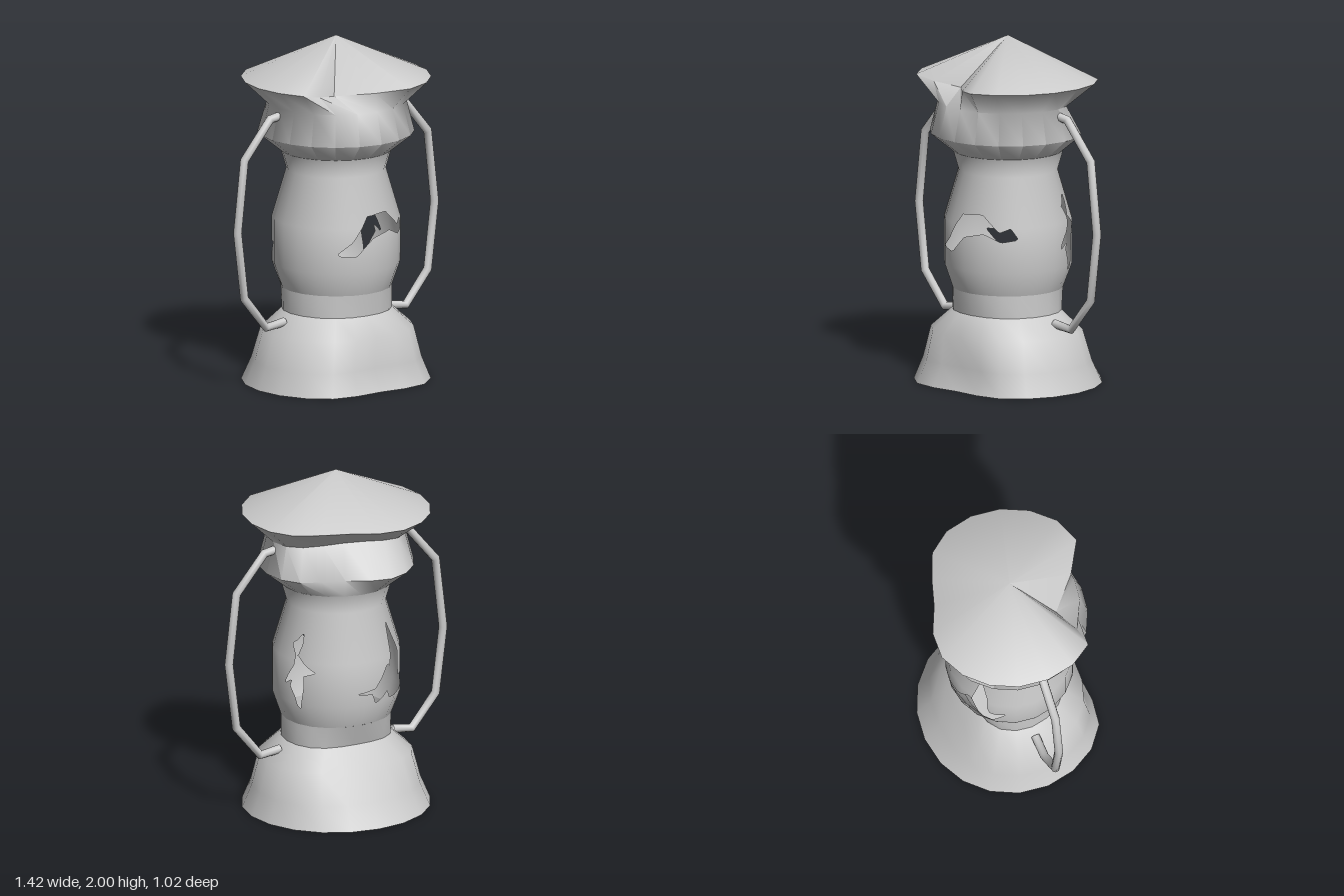
import * as THREE from 'three';
import { toCreasedNormals } from 'three/addons/utils/BufferGeometryUtils.js';

const SIDES = 20;
const STEP = (Math.PI * 2) / SIDES;
const DEG = Math.PI / 180;
const mat = new THREE.MeshStandardMaterial({ color: 0xcccccc, side: THREE.DoubleSide });

// Dents: centre angle (from +z towards +x), height, angular and vertical spread, push vector
const DENTS = [
  { a: -18, y: 1.76, sa: 16, sy: 0.04, push: [0, -0.055, -0.3] },      // front of the brim
  { a: 157, y: 1.76, sa: 18, sy: 0.04, push: [-0.035, 0, 0.09] },      // back of the brim
  { a: 168, y: 1.625, sa: 32, sy: 0.06, push: [-0.07, 0, 0.19] },      // back of the neck
  { a: 158, y: 1.445, sa: 20, sy: 0.05, push: [-0.03, 0, 0.11] },      // back of the head
  { a: 180, y: 0.3, sa: 30, sy: 0.15, push: [0, 0, 0.1] },             // back of the base
  { a: 0, y: 0.07, sa: 20, sy: 0.17, push: [0, 0, -0.12] },            // front of the base
];

function dent(v) {
  if (Math.hypot(v.x, v.z) < 0.01) return v;
  const angle = Math.atan2(v.x, v.z) / DEG;
  const { y } = v;
  for (const d of DENTS) {
    const da = ((angle - d.a + 540) % 360) - 180;
    const w = Math.exp(-0.5 * ((da / d.sa) ** 2 + ((y - d.y) / d.sy) ** 2));
    if (w > 0.02) v.addScaledVector(new THREE.Vector3(...d.push), w);
  }
  return v;
}

// Dented body of revolution
function turned(name, profile) {
  const geo = new THREE.LatheGeometry(profile.map(p => new THREE.Vector2(...p)), SIDES);
  const pos = geo.attributes.position;
  const v = new THREE.Vector3();
  for (let i = 0; i < pos.count; i++) {
    dent(v.fromBufferAttribute(pos, i));
    pos.setXYZ(i, v.x, v.y, v.z);
  }
  const mesh = new THREE.Mesh(toCreasedNormals(geo, 1.15), mat);
  mesh.name = name;
  return mesh;
}

const GLASS = [[0.317, 0.55], [0.365, 0.69], [0.365, 0.95], [0.283, 1.23], [0.315, 1.34]];
const GLASS_R = 0.365;

// Broken openings: facing angle and outline as (sideways offset, height)
const CRACKS = [
  { a: 0, pts: [[-0.21, 0.8], [-0.13, 0.865], [-0.085, 0.93], [-0.03, 1.01], [0.115, 1.02], [0.21, 0.925], [0.26, 0.95],
    [0.29, 0.885], [0.22, 0.87], [0.125, 0.915], [0, 0.885], [-0.05, 0.84], [-0.105, 0.785], [-0.185, 0.79]] },
  { a: 90, pts: [[0.165, 1.11], [0.17, 1.05], [0.15, 0.98], [0.2, 0.93], [0.25, 0.89], [0.19, 0.865], [0.19, 0.8],
    [0.17, 0.66], [0.155, 0.67], [0.14, 0.725], [0.105, 0.79], [0.12, 0.835], [0.05, 0.79], [0.085, 0.85],
    [0.13, 0.915], [0.14, 0.975], [0.1, 1.04], [0.13, 1.06]] },
  { a: 225, pts: [[-0.297, 0.764], [-0.206, 0.777], [-0.115, 0.91], [-0.103, 0.858], [-0.06, 1.135], [0, 0.978],
    [0, 0.859], [0.018, 0.793], [0.115, 0.811], [0.03, 0.706], [-0.103, 0.7], [-0.12, 0.75], [-0.206, 0.69], [-0.224, 0.75]] },
].map(c => c.pts.map(([u, y]) => [(c.a * DEG + Math.asin(u / GLASS_R)) * GLASS_R, y]));

// Signed distance to an outline on the unrolled glass, negative inside
function outlineDistance(x, y, poly) {
  let best = Infinity, inside = false;
  poly.forEach(([ax, ay], i) => {
    const [bx, by] = poly[(i + 1) % poly.length];
    const dx = bx - ax, dy = by - ay;
    const t = THREE.MathUtils.clamp(((x - ax) * dx + (y - ay) * dy) / (dx * dx + dy * dy), 0, 1);
    best = Math.min(best, Math.hypot(x - ax - t * dx, y - ay - t * dy));
    if ((ay > y) !== (by > y) && x < ax + ((y - ay) / dy) * dx) inside = !inside;
  });
  return inside ? -best : best;
}

function crackDistance(angle, y) {
  let d = Infinity;
  for (const poly of CRACKS)
    for (const turn of [-1, 0, 1])
      d = Math.min(d, outlineDistance((angle + turn * Math.PI * 2) * GLASS_R, y, poly));
  return d;
}

// Glass: fine grid over the faceted profile, trimmed along the cracks
function glass() {
  const positions = [], normals = [];
  const slopes = GLASS.map((p, i) => {
    const a = GLASS[Math.max(i - 1, 0)], b = GLASS[Math.min(i + 1, GLASS.length - 1)];
    return (a[0] - b[0]) / (b[1] - a[1]);
  });
  const emit = ({ a, y }) => {
    let s = 0;
    while (s < GLASS.length - 2 && y > GLASS[s + 1][1]) s++;
    const t = (y - GLASS[s][1]) / (GLASS[s + 1][1] - GLASS[s][1]);
    const r = THREE.MathUtils.lerp(GLASS[s][0], GLASS[s + 1][0], t);
    const off = a - (Math.floor(a / STEP + 1e-6) + 0.5) * STEP;
    const rf = (r * Math.cos(STEP / 2)) / Math.cos(off);
    const v = dent(new THREE.Vector3(Math.sin(a) * rf, y, Math.cos(a) * rf));
    const n = new THREE.Vector3(Math.sin(a), THREE.MathUtils.lerp(slopes[s], slopes[s + 1], t), Math.cos(a)).normalize();
    positions.push(v.x, v.y, v.z);
    normals.push(n.x, n.y, n.z);
  };
  const trim = tri => {
    const out = [];
    tri.forEach((p, i) => {
      const q = tri[(i + 1) % 3];
      if (p.d >= 0) out.push(p);
      if ((p.d >= 0) !== (q.d >= 0)) {
        const t = p.d / (p.d - q.d);
        out.push({ a: p.a + (q.a - p.a) * t, y: p.y + (q.y - p.y) * t });
      }
    });
    for (let i = 1; i + 1 < out.length; i++) [out[0], out[i], out[i + 1]].forEach(emit);
  };
  const rows = [];
  for (let s = 0; s + 1 < GLASS.length; s++) {
    const y0 = GLASS[s][1], y1 = GLASS[s + 1][1], n = Math.ceil((y1 - y0) / 0.015);
    for (let i = 0; i < n; i++) rows.push(y0 + ((y1 - y0) * i) / n);
  }
  rows.push(GLASS[GLASS.length - 1][1]);
  const cols = SIDES * 8;
  const grid = rows.map(y => Array.from({ length: cols + 1 }, (_, i) => {
    const a = (i / cols) * Math.PI * 2;
    return { a, y, d: crackDistance(a, y) };
  }));
  for (let j = 0; j + 1 < rows.length; j++)
    for (let i = 0; i < cols; i++) {
      const p = grid[j][i], q = grid[j][i + 1], r = grid[j + 1][i + 1], s = grid[j + 1][i];
      trim([p, q, r]);
      trim([p, r, s]);
    }
  const geo = new THREE.BufferGeometry();
  geo.setAttribute('position', new THREE.Float32BufferAttribute(positions, 3));
  geo.setAttribute('normal', new THREE.Float32BufferAttribute(normals, 3));
  const mesh = new THREE.Mesh(geo, mat);
  mesh.name = 'crackedGlass';
  return mesh;
}

// Path with straight runs and mitred corners
class BentRod extends THREE.Curve {
  constructor(points) { super(); this.points = points; }
  getPoint(t, target = new THREE.Vector3()) {
    const n = this.points.length - 1, i = Math.min(Math.floor(t * n + 1e-6), n - 1);
    return target.lerpVectors(this.points[i], this.points[i + 1], t * n - i);
  }
  getPointAt(t, target) { return this.getPoint(t, target); }
  getTangentAt(t, target = new THREE.Vector3()) {
    const p = this.points, n = p.length - 1, i = Math.round(t * n);
    const run = k => p[k + 1].clone().sub(p[k]).normalize();
    return target.copy(run(Math.max(i - 1, 0))).add(run(Math.min(i, n - 1))).normalize();
  }
}

function handle(side) {
  const pts = [[0.37, 1.585], [0.46, 1.57], [0.64, 1.355], [0.688, 0.94], [0.64, 0.55], [0.487, 0.362], [0.36, 0.378]]
    .map(([x, y]) => new THREE.Vector3(side * x, y, 0));
  const mesh = new THREE.Mesh(new THREE.TubeGeometry(new BentRod(pts), pts.length - 1, 0.025, 10), mat);
  mesh.name = side > 0 ? 'leftHandle' : 'rightHandle';
  return mesh;
}

export function createModel() {
  const group = new THREE.Group();
  group.name = 'lantern';
  const body = new THREE.Group();
  body.name = 'lanternBody';
  body.position.z = 0.01;
  body.add(
    turned('base', [[0, 0], [0.54, 0], [0.487, 0.13], [0.44, 0.31], [0.317, 0.42]]),
    turned('collar', [[0.317, 0.42], [0.317, 0.55]]),
    glass(),
    turned('head', [[0.315, 1.34], [0.445, 1.445], [0.4, 1.625], [0.54, 1.76]]),
    turned('roof', [[0.54, 1.76], [0, 2]]),
    handle(1),
    handle(-1),
  );
  group.add(body);
  return group;
}
